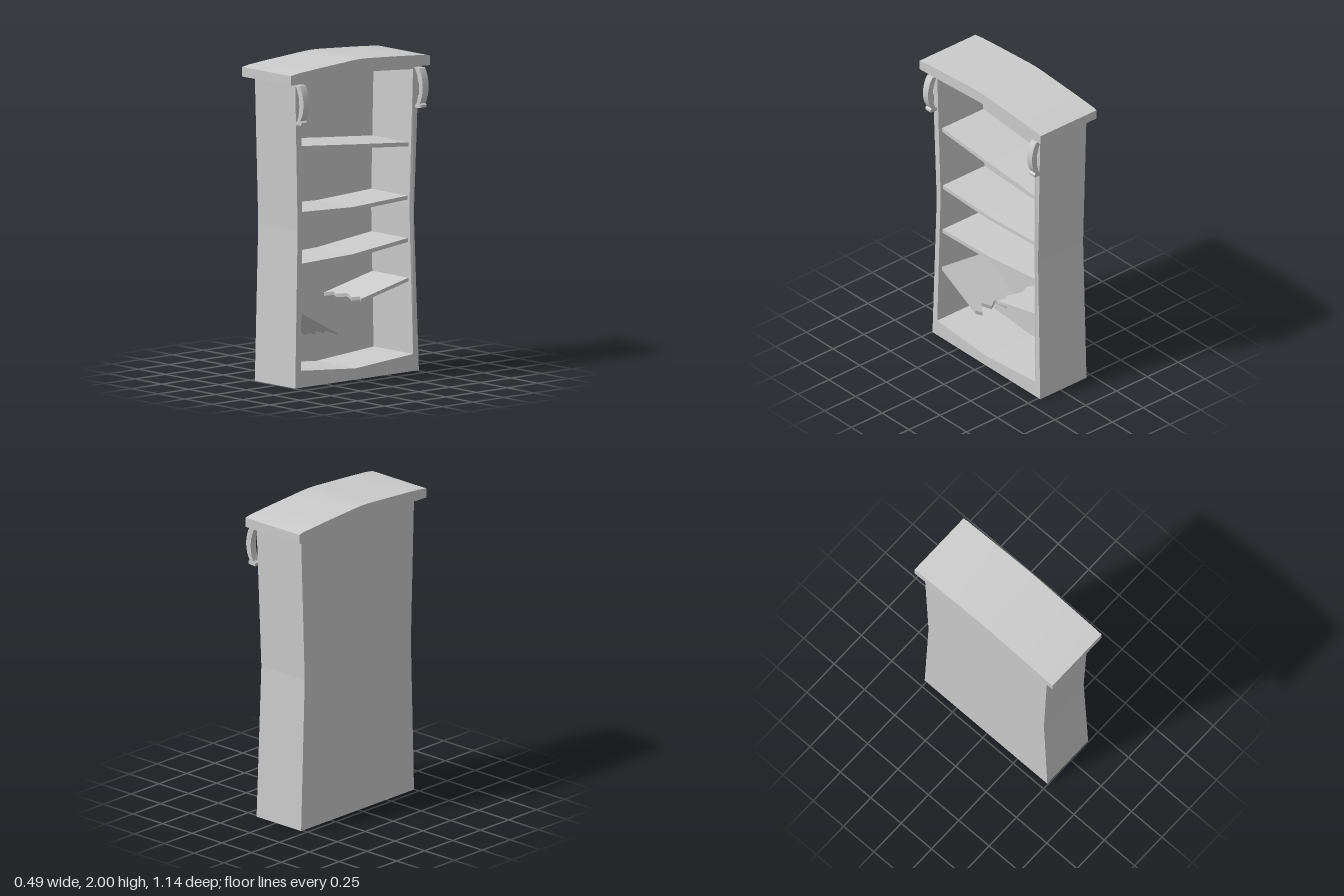
import * as THREE from 'three';
import { toCreasedNormals } from 'three/addons/utils/BufferGeometryUtils.js';

const material = new THREE.MeshStandardMaterial({ color: 0xcccccc });
const BACK = -0.2, FRONT = 0.165, SHELF_FRONT = 0.135;

const points = (list) => list.map(([a, b]) => new THREE.Vector2(a, b));
const flatExtrude = (shape, depth) =>
  new THREE.ExtrudeGeometry(shape, { depth, bevelEnabled: false });

// Profile drawn as seen from the open side (+x), extruded from x0 to x1
function slab(profile, x0, x1, hole) {
  const shape = new THREE.Shape(points(profile));
  if (hole) shape.holes.push(new THREE.Path(points(hole)));
  return flatExtrude(shape, x1 - x0).rotateY(Math.PI / 2).translate(x0, 0, 0);
}

// Plank drawn in plan as (across, depth); height(across, depth) gives its top
function plank(plan, thickness, height) {
  const geometry = flatExtrude(new THREE.Shape(points(plan)), thickness);
  const p = geometry.attributes.position;
  for (let i = 0; i < p.count; i++) {
    const u = p.getX(i), d = p.getY(i), t = p.getZ(i);
    p.setXYZ(i, d, height(u, d) - t, -u);
  }
  geometry.computeVertexNormals();
  return geometry;
}

export function createModel() {
  const model = new THREE.Group();
  model.name = 'bookcase';
  const add = (name, geometry) => {
    const mesh = new THREE.Mesh(geometry, material);
    mesh.name = name;
    model.add(mesh);
    return mesh;
  };

  // Pinched carcass with a warped opening
  const outline = [[-0.495, 0], [0.515, 0], [0.483, 0.98], [0.515, 1.9],
    [0, 1.928], [-0.495, 1.9], [-0.467, 0.98]];
  const opening = [[-0.45, 0.106], [-0.43, 1.02], [-0.45, 1.878], [0, 1.913],
    [0.467, 1.878], [0.446, 1.02], [0.467, 0.106], [0, 0.07]];
  const frame = slab(outline, BACK, FRONT, opening);
  const p = frame.attributes.position;
  for (let i = 0; i < p.count; i++) {
    // Front edge sits slightly back at the waist
    if (p.getX(i) > 0 && Math.abs(p.getY(i) - 1) < 0.1) p.setX(i, FRONT - 0.01);
  }
  frame.computeVertexNormals();
  add('carcass', frame);
  add('backPanel', slab(outline, -0.21, BACK));

  // Overhanging arched top
  const top = [[-0.568, 1.897], [-0.48, 1.9], [0, 1.928], [0.5, 1.9], [0.568, 1.897],
    [0.568, 1.957], [0.535, 1.965], [0.34, 1.98], [0.06, 1.998], [0, 2],
    [-0.06, 1.998], [-0.36, 1.978], [-0.5, 1.967], [-0.568, 1.957]];
  add('top', toCreasedNormals(slab(top, -0.245, 0.207), 0.5));

  // Whole shelves: top heights at left end, middle and right end
  const shelves = [
    [1.498, 1.459, 1.42],
    [1.087, 1.069, 1.09],
    [0.764, 0.776, 0.826],
  ];
  shelves.forEach(([l, m, r], i) => {
    const t = 0.025;
    add('shelf' + (i + 1), slab([[-0.44, l - t], [0, m - t], [0.458, r - t],
      [0.458, r], [0, m], [-0.44, l]], BACK, SHELF_FRONT));
  });

  // Broken shelf: one half still fixed, the other sagging and tilted
  add('brokenShelfRight', plank([[0.458, BACK], [0.458, SHELF_FRONT], [0.07, SHELF_FRONT],
    [0.1, 0.09], [0.065, 0.05], [0.09, 0.01], [0.11, -0.04], [0.075, -0.1],
    [0.1, -0.15], [0.06, BACK]], 0.022, (u) => 0.578 - (0.458 - u) * 0.226));
  add('brokenShelfLeft', plank([[-0.44, BACK], [-0.09, BACK], [-0.12, -0.14],
    [-0.1, -0.09], [-0.15, -0.04], [-0.12, 0.01], [-0.16, 0.06], [-0.1, 0.1],
    [-0.125, SHELF_FRONT], [-0.44, SHELF_FRONT]], 0.024,
  (u, d) => 0.49 - (u + 0.44) * 0.53 - (SHELF_FRONT - d) * 0.12));

  // Curved brackets below the top at the front corners
  const bracket = new THREE.Shape();
  bracket.moveTo(0.165, 1.888);
  bracket.bezierCurveTo(0.21, 1.83, 0.215, 1.73, 0.183, 1.665);
  bracket.lineTo(0.168, 1.655);
  bracket.lineTo(0.168, 1.637);
  bracket.lineTo(0.22, 1.642);
  bracket.lineTo(0.223, 1.658);
  bracket.lineTo(0.212, 1.668);
  bracket.bezierCurveTo(0.25, 1.72, 0.255, 1.82, 0.208, 1.888);
  const bracketGeometry = toCreasedNormals(new THREE.ExtrudeGeometry(bracket,
    { depth: 0.048, bevelEnabled: false, curveSegments: 8 }), 0.5);
  [['bracketLeft', 0.448], ['bracketRight', -0.527]].forEach(([name, z]) => {
    add(name, bracketGeometry).position.z = z;
  });

  return model;
}
